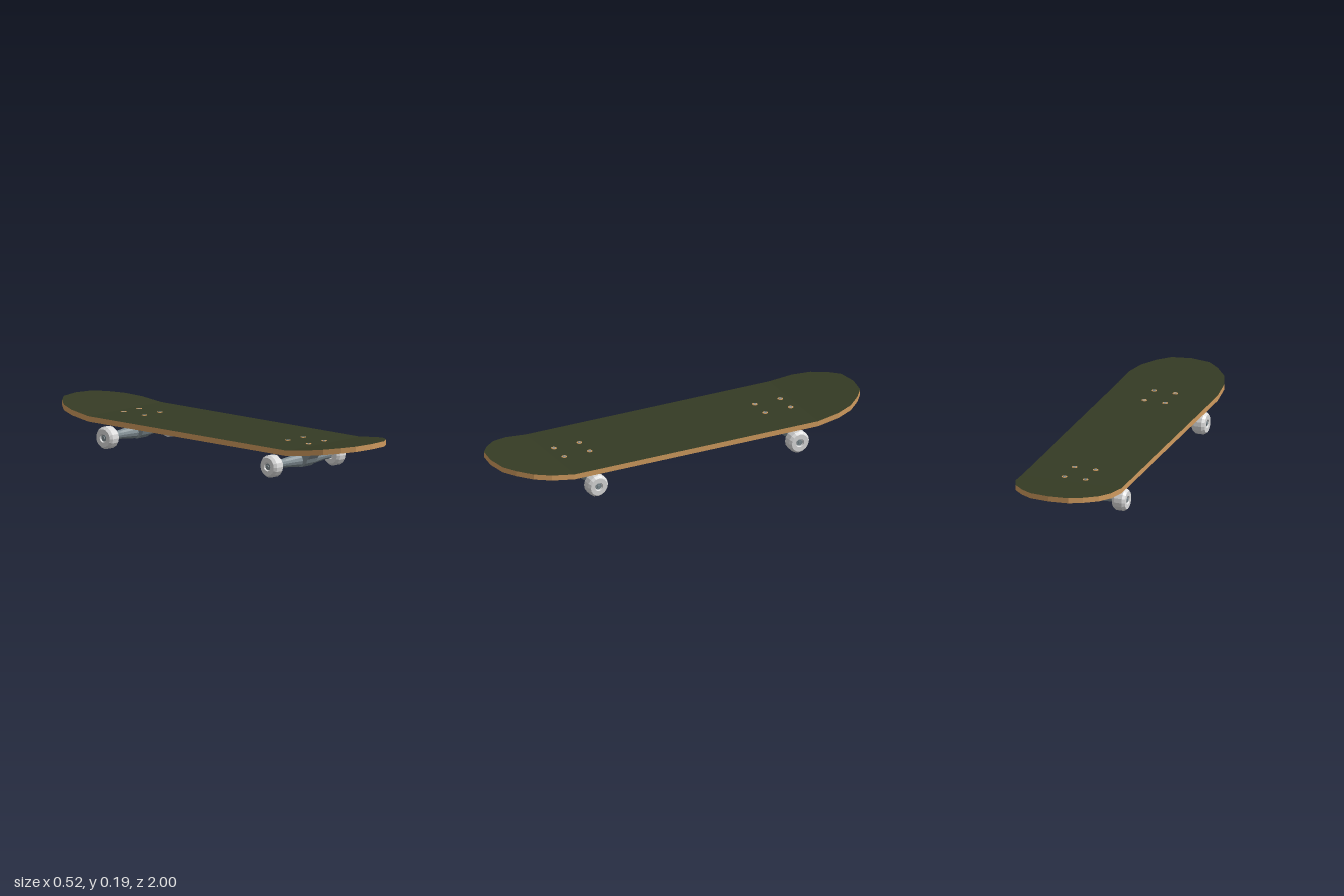
import * as THREE from 'three';

const mat = (name, color) => Object.assign(new THREE.MeshStandardMaterial({ color }), { name });

// Facet a geometry so that every face is flat
function flat(geo) {
  const g = geo.index ? geo.toNonIndexed() : geo;
  g.computeVertexNormals();
  return g;
}

function part(parent, name, geo, material, x = 0, y = 0, z = 0) {
  const m = new THREE.Mesh(geo, material);
  m.name = name;
  m.position.set(x, y, z);
  parent.add(m);
  return m;
}

// Turned shape along x from [radius, x] pairs
const turned = (points, sides) =>
  flat(new THREE.LatheGeometry(points.map(p => new THREE.Vector2(...p)), sides).rotateZ(-Math.PI / 2));

const rod = (radius, length, sides) =>
  flat(new THREE.CylinderGeometry(radius, radius, length, sides).rotateZ(-Math.PI / 2));

// Deck outline as [half width, z]; the ends kick up beyond KICK
const KICK = 0.67, TOP = 0.155, THICK = 0.027;
const half = [[0.26, KICK], [0.25, 0.79], [0.218, 0.873], [0.16, 0.94], [0.1, 0.985], [0, 1]];
const rows = [...half.map(([w, z]) => [w, -z]).reverse(), ...half];
const topAt = z => TOP + Math.max(0, Math.abs(z) - KICK) / (1 - KICK) * 0.041;

function quads(list) {
  const pos = [];
  for (const [a, b, c, d] of list) pos.push(...a, ...b, ...c, ...a, ...c, ...d);
  const g = new THREE.BufferGeometry();
  g.setAttribute('position', new THREE.Float32BufferAttribute(pos, 3));
  g.computeVertexNormals();
  return g;
}

function buildDeck(group, grip, wood) {
  const top = [], body = [];
  for (let i = 0; i < rows.length - 1; i++) {
    const corner = (row, side, drop) => [side * row[0], topAt(row[1]) - drop, row[1]];
    const ring = drop => [
      corner(rows[i], -1, drop), corner(rows[i + 1], -1, drop),
      corner(rows[i + 1], 1, drop), corner(rows[i], 1, drop)];
    const [A, B, C, D] = ring(0), [a, b, c, d] = ring(THICK);
    top.push([A, B, C, D]);
    body.push([d, c, b, a], [D, C, c, d], [a, b, B, A]);
  }
  part(group, 'gripSurface', quads(top), grip);
  part(group, 'deck', quads(body), wood);
}

function buildWheel(white, steel) {
  const wheel = new THREE.Group();
  wheel.name = 'wheel';
  part(wheel, 'tyre', turned([
    [0, -0.027], [0.018, -0.027], [0.022, -0.0335], [0.045, -0.0335], [0.0555, -0.02],
    [0.0555, 0.02], [0.045, 0.0335], [0.022, 0.0335], [0.018, 0.025], [0, 0.025]], 16), white);
  part(wheel, 'bearing', rod(0.016, 0.004, 16), steel, 0.026);
  part(wheel, 'axleNut', rod(0.009, 0.008, 6), steel, 0.029);
  return wheel;
}

function buildTruck(white, steel) {
  const truck = new THREE.Group();
  truck.name = 'truck';
  const axleY = 0.0565, axleZ = -0.018;

  part(truck, 'basePlate', new THREE.BoxGeometry(0.144, 0.015, 0.19), steel, 0, 0.1205, 0);

  // Bracket: side profile as [z, y], extruded across x
  const profile = [[0.08, 0.114], [0.062, 0.09], [0.044, 0.07], [0.036, 0.05],
    [0.002, 0.028], [-0.035, 0.028], [-0.055, 0.05], [-0.06, 0.08], [-0.07, 0.114]];
  const bracket = new THREE.ExtrudeGeometry(
    new THREE.Shape(profile.map(([z, y]) => new THREE.Vector2(-z, y))),
    { depth: 0.072, bevelEnabled: false });
  bracket.translate(0, 0, -0.036).rotateY(Math.PI / 2);
  part(truck, 'bracket', bracket, steel);

  // Hanger: thick in the middle, slim at the ends
  part(truck, 'hanger', turned([
    [0, -0.182], [0.019, -0.182], [0.022, -0.178], [0.022, -0.14], [0.033, -0.036],
    [0.033, 0.036], [0.022, 0.14], [0.022, 0.178], [0.019, 0.182], [0, 0.182]], 12),
  steel, 0, 0.06, axleZ);
  part(truck, 'axle', rod(0.008, 0.42, 10), steel, 0, axleY, axleZ);

  for (const side of [1, -1]) {
    const wheel = buildWheel(white, steel);
    wheel.position.set(side * 0.2235, axleY, axleZ);
    if (side < 0) wheel.rotation.y = Math.PI;
    truck.add(wheel);
  }
  return truck;
}

export function createModel() {
  const model = new THREE.Group();
  model.name = 'skateboard';
  const grip = mat('gripGreen', 0x353b24);
  const wood = mat('wood', 0xcf9a5e);
  const steel = mat('steel', 0x7f8c92);
  const white = mat('wheelWhite', 0xdadada);

  buildDeck(model, grip, wood);

  for (const z of [0.552, -0.555]) {
    const truck = buildTruck(white, steel);
    truck.position.z = z;
    model.add(truck);

    // Four bolts through the deck above each truck
    for (const x of [-0.055, 0.055]) for (const dz of [-0.07, 0.07]) {
      part(model, 'boltRim', new THREE.CylinderGeometry(0.014, 0.014, 0.004, 10), wood, x, TOP, z + dz);
      part(model, 'boltHead', new THREE.CylinderGeometry(0.008, 0.008, 0.005, 10), steel, x, TOP + 0.0005, z + dz);
    }
  }
  return model;
}
